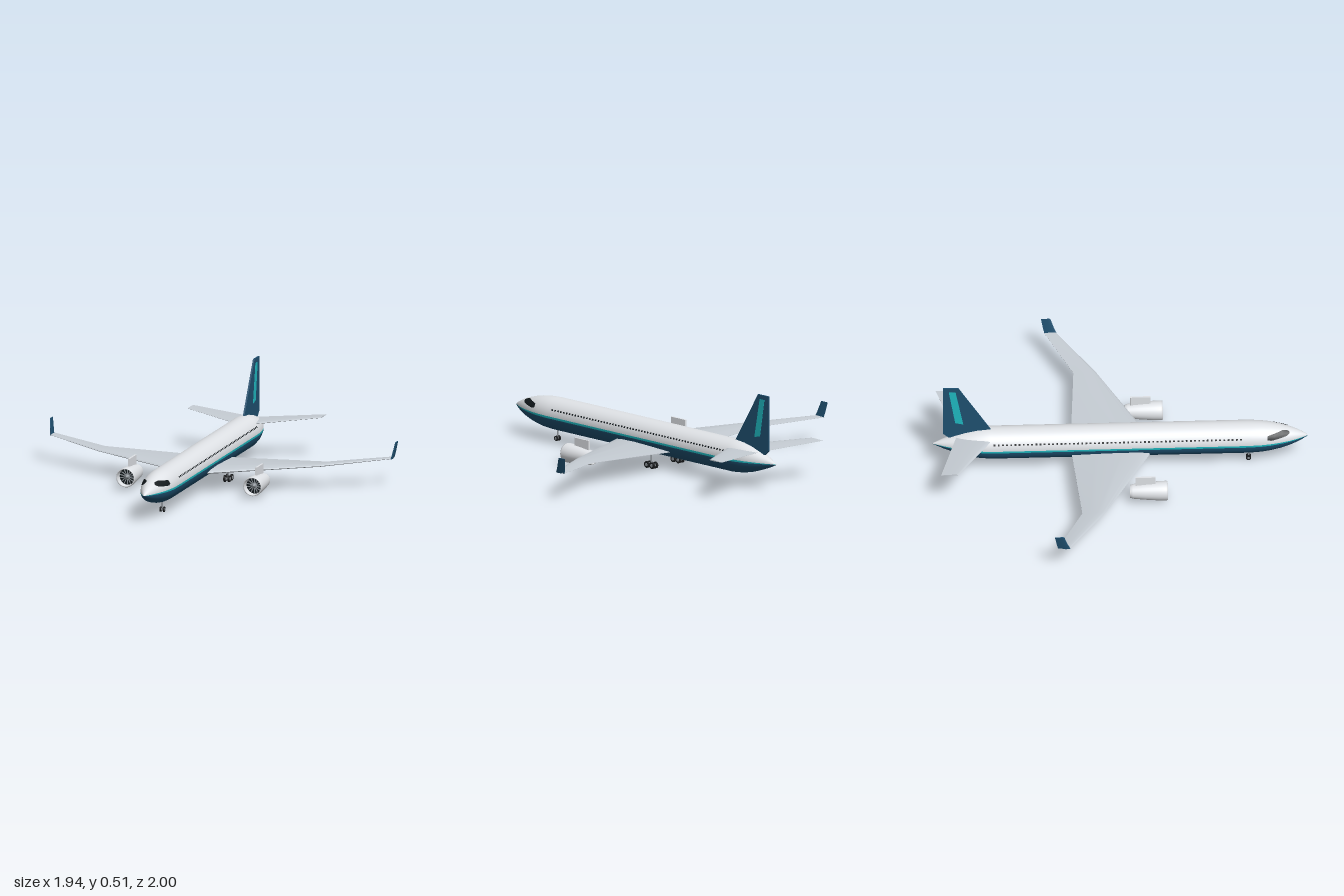
import * as THREE from 'three';
import { toCreasedNormals } from 'three/addons/utils/BufferGeometryUtils.js';

const mat = (name, color, side = THREE.FrontSide) => {
  const m = new THREE.MeshStandardMaterial({ color, side });
  m.name = name;
  return m;
};
const rad = THREE.MathUtils.degToRad;
const AXIS = 0.15; // height of the fuselage centre line

// Fuselage radius along z, tail to nose
const PROFILE = [
  [-1, 0], [-0.97, 0.014], [-0.94, 0.027], [-0.88, 0.049], [-0.82, 0.068], [-0.76, 0.081], [-0.69, 0.088],
  [0.68, 0.088], [0.75, 0.084], [0.8, 0.077], [0.85, 0.066], [0.9, 0.051], [0.94, 0.035], [0.97, 0.02], [0.99, 0.008], [1, 0],
];
const radiusAt = (z) => {
  const i = Math.max(1, PROFILE.findIndex((p) => p[0] >= z));
  const [a, b] = [PROFILE[i - 1], PROFILE[i]];
  return THREE.MathUtils.mapLinear(z, a[0], b[0], a[1], b[1]);
};

// Lathe about the z axis; the angle starts at the bottom
function latheZ(points, segments, start = 0, sweep = 360) {
  const g = new THREE.LatheGeometry(points.map(([z, r]) => new THREE.Vector2(r, z)), segments, rad(start), rad(sweep));
  return g.rotateX(Math.PI / 2);
}

// Aerofoil outline: chord fraction and thickness fraction
const FOIL = [[0, 0], [0.03, 0.25], [0.12, 0.42], [0.35, 0.5], [0.7, 0.3], [1, 0.05],
  [1, -0.05], [0.7, -0.3], [0.35, -0.5], [0.12, -0.42], [0.03, -0.25]];

// Loft through sections [x, y, leading z, trailing z, thickness, tilt]; s = -1 mirrors it
function loft(sections, s) {
  const n = FOIL.length, pos = [], idx = [];
  const tri = (a, b, c) => (s > 0 ? idx.push(a, b, c) : idx.push(a, c, b));
  for (const [x, y, lead, trail, t, tilt = 0] of sections) {
    for (const [c, h] of FOIL) {
      pos.push(s * (x - h * t * Math.sin(rad(tilt))), y + h * t * Math.cos(rad(tilt)), lead + (trail - lead) * c);
    }
  }
  const last = (sections.length - 1) * n;
  for (let i = 0; i < last; i += n) {
    for (let j = 0; j < n; j++) {
      const k = (j + 1) % n;
      tri(i + j, i + n + j, i + k);
      tri(i + k, i + n + j, i + n + k);
    }
  }
  for (let j = 1; j < n - 1; j++) {
    tri(0, j, j + 1);
    tri(last, last + j + 1, last + j);
  }
  const g = new THREE.BufferGeometry();
  g.setAttribute('position', new THREE.Float32BufferAttribute(pos, 3));
  g.setIndex(idx);
  return toCreasedNormals(g, rad(35));
}

// Upright plate centred on x = 0 from [z, y] corners
function plate(points, depth) {
  const shape = new THREE.Shape(points.map(([z, y]) => new THREE.Vector2(z, y)));
  return new THREE.ExtrudeGeometry(shape, { depth, bevelEnabled: false }).rotateY(-Math.PI / 2).translate(depth / 2, 0, 0);
}

export function createModel() {
  const white = mat('body white', 0xe2e5e9);
  const blue = mat('deep blue', 0x1f5070);
  const teal = mat('teal', 0x1fb8c0);
  const glass = mat('dark glass', 0x12181c, THREE.DoubleSide);
  const wingGrey = mat('wing grey', 0xc6cdd4);
  const metal = mat('metal grey', 0x8c9298);
  const rubber = mat('rubber', 0x1c1e20);

  const model = new THREE.Group();
  model.name = 'airliner';
  const add = (parent, name, geometry, material, x = 0, y = 0, z = 0) => {
    const m = new THREE.Mesh(geometry, material);
    m.name = name;
    m.position.set(x, y, z);
    parent.add(m);
    return m;
  };
  const group = (name, x, y, z) => {
    const g = new THREE.Group();
    g.name = name;
    g.position.set(x, y, z);
    model.add(g);
    return g;
  };

  // Fuselage: white above, teal line, blue belly
  add(model, 'fuselageTop', latheZ(PROFILE, 28, 90, 180), white, 0, AXIS);
  add(model, 'fuselageBelly', latheZ(PROFILE, 26, -82.5, 165), blue, 0, AXIS);
  for (const start of [82.5, 270]) add(model, 'sideStripe', latheZ(PROFILE, 1, start, 7.5), teal, 0, AXIS);

  // Tail fin with its stripe
  add(model, 'tailFin', plate([[-0.68, 0.225], [-0.69, 0.24], [-0.86, 0.512], [-0.94, 0.512], [-0.94, 0.215], [-0.9, 0.18]].reverse(), 0.009), blue);
  add(model, 'finStripe', plate([[-0.833, 0.275], [-0.874, 0.488], [-0.91, 0.488], [-0.876, 0.285]].reverse(), 0.0115), teal);

  const windowGeo = new THREE.BoxGeometry(0.005, 0.009, 0.01);
  const tyreGeo = (r, w) => new THREE.CylinderGeometry(r, r, w, 18).rotateZ(Math.PI / 2);
  const wheel = (parent, r, w, x, y, z) => {
    add(parent, 'tyre', tyreGeo(r, w), rubber, x, y, z);
    add(parent, 'wheelHub', tyreGeo(r * 0.5, w + 0.003), metal, x, y, z);
  };

  for (const s of [1, -1]) {
    const side = s > 0 ? 'left' : 'right';

    // Cabin windows
    const cabin = group(side + 'CabinWindows', 0, 0, 0);
    for (let i = 0; i < 60; i++) {
      const w = add(cabin, 'cabinWindow', windowGeo, glass, s * 0.0785, 0.186, 0.64 - i * 0.0222);
      w.rotation.z = s * 0.42;
    }

    // Cockpit window: a strip lying on the nose surface
    const pos = [], idx = [];
    const strip = [[0.9, 0.19, 0.195], [0.885, 0.182, 0.203], [0.86, 0.178, 0.207], [0.82, 0.173, 0.202], [0.8, 0.172, 0.2], [0.782, 0.176, 0.196]];
    const rows = 4;
    strip.forEach(([z, low, high], i) => {
      const r = radiusAt(z) + 0.002;
      for (let j = 0; j <= rows; j++) {
        const dy = low + ((high - low) * j) / rows - AXIS;
        pos.push(s * Math.sqrt(Math.max(0, r * r - dy * dy)), AXIS + dy, z);
        const a = i * (rows + 1) + j, b = a + rows + 1;
        if (i < strip.length - 1 && j < rows) {
          if (s > 0) idx.push(a, b, a + 1, a + 1, b, b + 1);
          else idx.push(a, a + 1, b, a + 1, b + 1, b);
        }
      }
    });
    const cockpit = new THREE.BufferGeometry();
    cockpit.setAttribute('position', new THREE.Float32BufferAttribute(pos, 3));
    cockpit.setIndex(idx);
    cockpit.computeVertexNormals();
    add(model, side + 'CockpitWindow', cockpit, glass);

    // Wing, winglet and tailplane
    add(model, side + 'Wing', loft([
      [0.02, 0.105, 0.186, -0.262, 0.028], [0.62, 0.128, -0.102, -0.224, 0.014], [0.955, 0.15, -0.305, -0.368, 0.007],
    ], s), wingGrey);
    add(model, side + 'Winglet', loft([
      [0.952, 0.147, -0.3, -0.365, 0.008, 70], [0.957, 0.175, -0.313, -0.372, 0.007, 80], [0.966, 0.232, -0.333, -0.383, 0.005, 80],
    ], s), blue);
    add(model, side + 'Tailplane', loft([
      [0.005, 0.197, -0.652, -0.868, 0.012], [0.38, 0.216, -0.875, -0.875, 0.006], 
    ].map((p, i) => (i ? [0.372, 0.216, -0.872, -0.965, 0.006] : p)), s), wingGrey);

    // Engine: hollow nacelle, fan, exhaust cone and pylon
    const engine = group(side + 'Engine', s * 0.355, 0.068, 0);
    add(engine, 'nacelle', latheZ([
      [0.2, 0.044], [0.1, 0.038], [0.042, 0.032], [0.04, 0.034], [0.055, 0.039], [0.12, 0.046], [0.19, 0.0515],
      [0.232, 0.0525], [0.24, 0.05], [0.236, 0.046], [0.2, 0.044],
    ], 28), white);
    add(engine, 'fanDisc', new THREE.CylinderGeometry(0.044, 0.041, 0.05, 28).rotateX(Math.PI / 2), glass, 0, 0, 0.175);
    const blade = new THREE.BoxGeometry(0.005, 0.03, 0.003).translate(0, 0.026, 0);
    for (let i = 0; i < 14; i++) {
      add(engine, 'fanBlade', blade, metal, 0, 0, 0.203).rotation.z = (i * Math.PI * 2) / 14;
    }
    add(engine, 'spinner', latheZ([[0.2, 0.014], [0.212, 0.01], [0.222, 0]], 16), metal);
    add(engine, 'exhaustCone', latheZ([[0.06, 0], [0.15, 0.022]], 16), metal);
    add(model, side + 'Pylon', new THREE.BoxGeometry(0.011, 0.055, 0.108), white, s * 0.355, 0.132, 0.122);

    // Main landing gear: strut, beam and four wheels
    const gear = group(side + 'MainGear', s * 0.097, 0, -0.137);
    add(gear, 'strut', new THREE.CylinderGeometry(0.004, 0.004, 0.085, 10), metal, 0, 0.066, 0);
    add(gear, 'beam', new THREE.BoxGeometry(0.006, 0.006, 0.045), metal, 0, 0.022, 0);
    for (const z of [0.02, -0.02]) {
      add(gear, 'axle', tyreGeo(0.003, 0.026), metal, 0, 0.022, z);
      for (const x of [0.012, -0.012]) wheel(gear, 0.018, 0.009, x, 0.022, z);
    }
  }

  // Nose gear
  const nose = group('noseGear', 0, 0, 0.683);
  add(nose, 'strut', new THREE.CylinderGeometry(0.004, 0.004, 0.07, 10), metal, 0, 0.05, 0);
  add(nose, 'axle', tyreGeo(0.003, 0.018), metal, 0, 0.014, 0);
  for (const x of [0.009, -0.009]) wheel(nose, 0.014, 0.007, x, 0.014, 0);

  return model;
}
